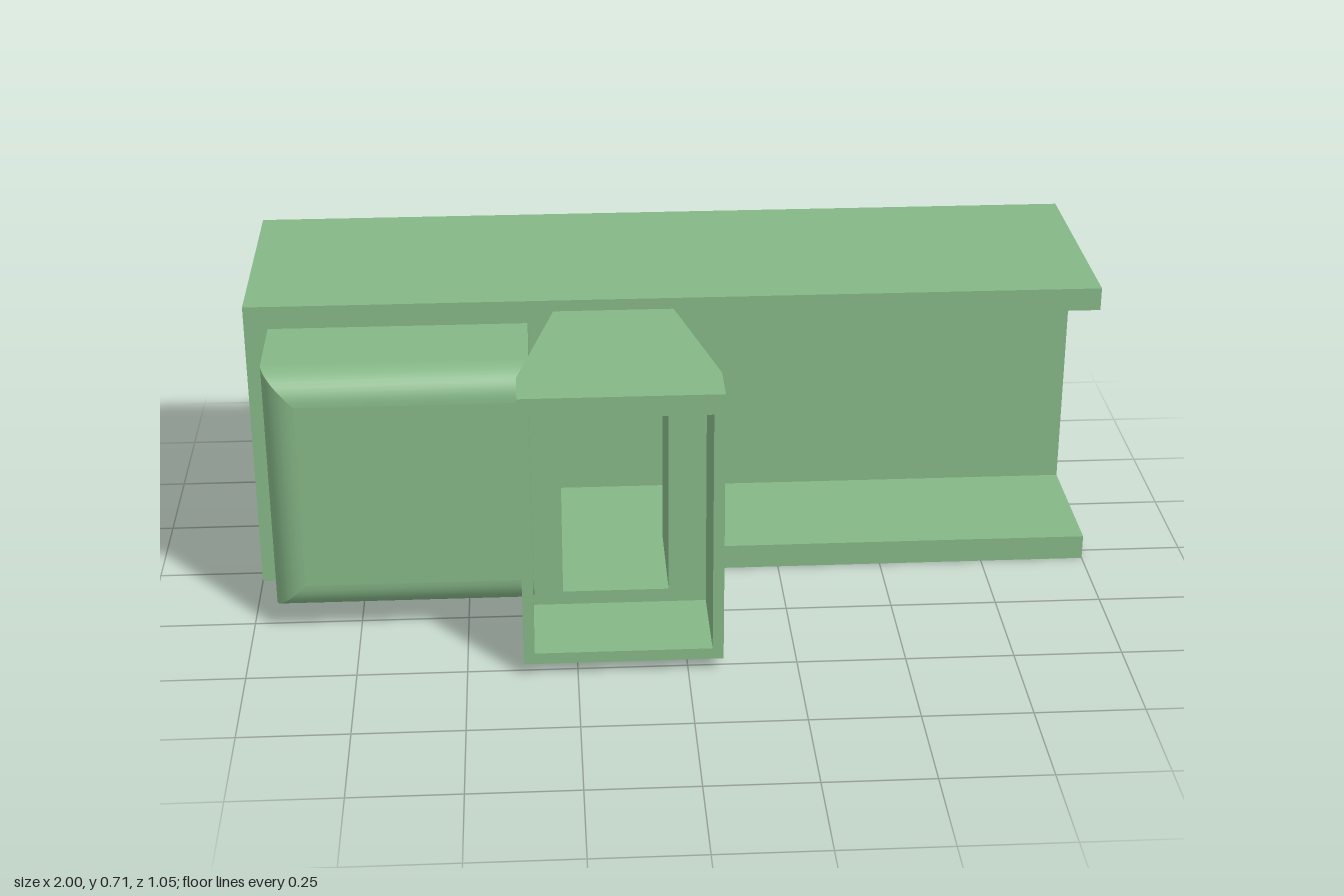
import * as THREE from 'three';
import { mergeGeometries } from 'three/addons/utils/BufferGeometryUtils.js';

// Rectangular cross-section at depth z
const ring = (x0, x1, y0, y1, z) => [[x0, y0, z], [x1, y0, z], [x1, y1, z], [x0, y1, z]];

// Skin a list of rectangular rings; each of the four sides is its own strip,
// so the long corners stay sharp while a strip may be smooth along its length.
function loft(rings, smooth) {
  const strips = [];
  for (let k = 0; k < 4; k++) {
    const pos = [], index = [];
    rings.forEach((r, i) => {
      pos.push(...r[k], ...r[(k + 1) % 4]);
      if (i < rings.length - 1) {
        const a = 2 * i;
        index.push(a, a + 1, a + 3, a, a + 3, a + 2);
      }
    });
    let g = new THREE.BufferGeometry();
    g.setAttribute('position', new THREE.Float32BufferAttribute(pos, 3));
    g.setIndex(index);
    if (!smooth) g = g.toNonIndexed();
    g.computeVertexNormals();
    strips.push(g);
  }
  return mergeGeometries(strips);
}

// Extrude a (z, y) profile along x
function extrudeX(points, x0, x1) {
  const shape = new THREE.Shape(points.map(([z, y]) => new THREE.Vector2(-z, y)));
  const g = new THREE.ExtrudeGeometry(shape, { depth: x1 - x0, bevelEnabled: false });
  return g.rotateY(Math.PI / 2).translate(x0, 0, 0);
}

export function createModel() {
  const model = new THREE.Group();
  model.name = 'railWithHousing';
  const material = new THREE.MeshStandardMaterial({ color: 0x85b787 });
  const add = (name, geometry, parent = model) => {
    const mesh = new THREE.Mesh(geometry, material);
    mesh.name = name;
    parent.add(mesh);
  };

  // Rail with a channel along the front and a narrower one along the back
  const back = [[-0.53, 0.715], [-0.53, 0.575], [-0.385, 0.575],
    [-0.385, 0.143], [-0.53, 0.143], [-0.53, 0]];
  const front = [[0.04, 0], [0.04, 0.06], [-0.3, 0.06],
    [-0.3, 0.66], [0.04, 0.66], [0.04, 0.715]];
  add('rail', extrudeX([...back, ...front], -0.945, 1));

  // Wall closing one end of the front channel
  add('railEndWall', extrudeX([...back, [0.04, 0], [0.04, 0.715]], -1, -0.945));

  // Block filling the channel, its front edges rounded on three sides
  const block = new THREE.Group();
  block.name = 'block';
  model.add(block);
  const R = 0.075, zFront = 0.32;
  const blockRing = (inset, z) => ring(-0.945 + inset, -0.345, 0.06 + inset, 0.66 - inset, z);
  const rings = [blockRing(0, -0.3)];
  for (let i = 0; i <= 10; i++) {
    const a = (i / 10) * Math.PI / 2;
    rings.push(blockRing(R * (1 - Math.cos(a)), zFront - R + R * Math.sin(a)));
  }
  add('blockSides', loft(rings, true), block);
  add('blockFront', loft([rings.at(-1), ring(-0.6, -0.6, 0.36, 0.36, zFront)], false), block);

  // Flared housing: outside, front rim, pocket, stepped through-hole, back rim
  const foot = ring(-0.285, -0.005, 0.03, 0.688, 0.04);
  add('flaredHousing', loft([
    foot,
    ring(-0.372, 0.08, 0.03, 0.688, 0.41),
    ring(-0.372, 0.08, 0.03, 0.688, 0.525),
    ring(-0.347, 0.055, 0.057, 0.64, 0.525),
    ring(-0.347, 0.055, 0.057, 0.64, 0.3),
    ring(-0.278, -0.032, 0.09, 0.64, 0.3),
    ring(-0.278, -0.032, 0.09, 0.64, 0.04),
    foot,
  ], false));

  return model;
}
